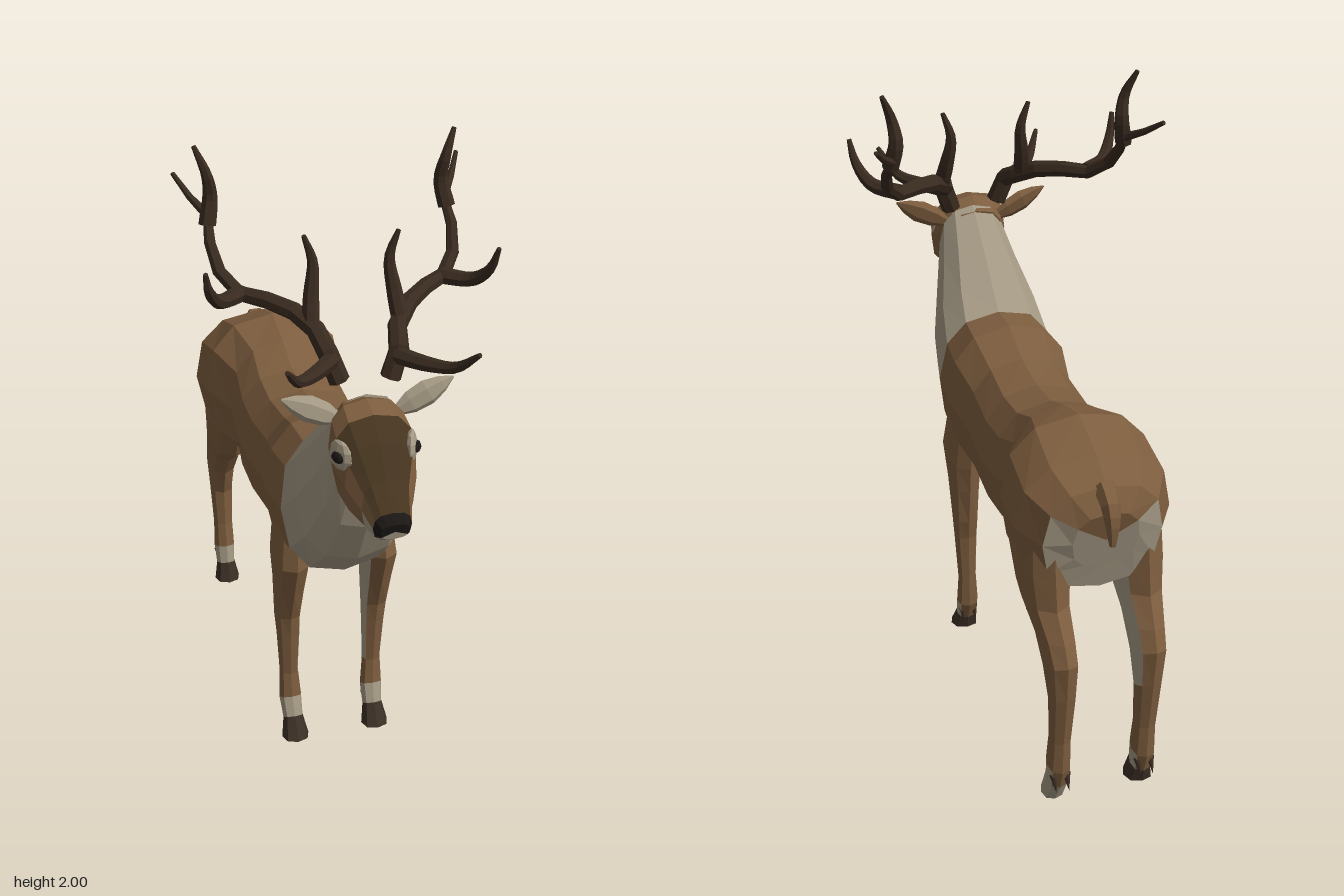
import * as THREE from 'three';

const V = (x, y, z) => new THREE.Vector3(x, y, z);
const material = (name, color) => {
  const m = new THREE.MeshStandardMaterial({ color });
  m.name = name;
  return m;
};

// Cross-section between point a (z, y) and point b (z, y), half width hw, centred on xc
function section([az, ay, bz, by, hw, xc = 0], n = 12, power = 0.8) {
  const soft = (v) => Math.sign(v) * Math.abs(v) ** power;
  return Array.from({ length: n }, (_, j) => {
    const t = (j / n) * Math.PI * 2;
    const c = soft(Math.cos(t)) / 2;
    return V(xc + hw * soft(Math.sin(t)), (ay + by) / 2 + (ay - by) * c, (az + bz) / 2 + (az - bz) * c);
  });
}

// Faceted skin over a row of rings; pick(ring, angle) gives the material index
function loft(name, rings, materials, pick = () => 0) {
  const buckets = materials.map(() => []);
  const mids = rings.map((r) => r.reduce((s, p) => s.add(p), V(0, 0, 0)).divideScalar(r.length));
  const face = (k, a, b, c, out) => {
    const normal = b.clone().sub(a).cross(c.clone().sub(a));
    const order = normal.dot(out) < 0 ? [a, c, b] : [a, b, c];
    order.forEach((p) => buckets[k].push(p.x, p.y, p.z));
  };
  const n = rings[0].length;
  for (let i = 0; i < rings.length - 1; i++) {
    const axis = mids[i].clone().add(mids[i + 1]).multiplyScalar(0.5);
    for (let j = 0; j < n; j++) {
      const a = rings[i][j], b = rings[i][(j + 1) % n];
      const c = rings[i + 1][(j + 1) % n], d = rings[i + 1][j];
      const out = a.clone().add(b).add(c).add(d).multiplyScalar(0.25).sub(axis);
      const k = pick(i, ((j + 0.5) / n) * Math.PI * 2);
      face(k, a, b, c, out);
      face(k, a, c, d, out);
    }
  }
  const last = rings.length - 1;
  [[0, 1, 0], [last, last - 1, last - 1]].forEach(([e, inner, i]) => {
    const out = mids[e].clone().sub(mids[inner]);
    for (let j = 0; j < n; j++) face(pick(i, ((j + 0.5) / n) * Math.PI * 2), mids[e], rings[e][j], rings[e][(j + 1) % n], out);
  });
  const geometry = new THREE.BufferGeometry();
  geometry.setAttribute('position', new THREE.Float32BufferAttribute(buckets.flat(), 3));
  let start = 0;
  buckets.forEach((b, k) => {
    if (b.length) geometry.addGroup(start, b.length / 3, k);
    start += b.length / 3;
  });
  geometry.computeVertexNormals();
  const mesh = new THREE.Mesh(geometry, materials);
  mesh.name = name;
  return mesh;
}

// Tapered branch along a smooth curve
function branch(name, points, r0, r1, mat, steps = 10, sides = 7) {
  const curve = new THREE.CatmullRomCurve3(points);
  const frames = curve.computeFrenetFrames(steps, false);
  const rings = [];
  for (let i = 0; i <= steps; i++) {
    const t = i / steps, r = r0 + (r1 - r0) * t ** 1.5, p = curve.getPointAt(t);
    rings.push(Array.from({ length: sides }, (_, j) => {
      const a = (j / sides) * Math.PI * 2;
      return p.clone().addScaledVector(frames.normals[i], r * Math.cos(a)).addScaledVector(frames.binormals[i], r * Math.sin(a));
    }));
  }
  return loft(name, rings, [mat]);
}

export function createModel() {
  const coat = material('brown coat', 0x7d5d3e);
  const pale = material('pale fur', 0xa39883);
  const mask = material('dark face', 0x45341f);
  const horn = material('antler brown', 0x382a1f);
  const hoof = material('hoof', 0x3b2f25);
  const black = material('black', 0x1a1614);

  const root = new THREE.Group();
  root.name = 'stag';
  const body = new THREE.Group();
  body.name = 'body';
  body.position.x = -0.035;
  root.add(body);

  // Trunk with pale belly and rump
  const trunk = [
    [0.24, 1.165, 0.32, 0.71, 0.188], [0.13, 1.165, 0.15, 0.68, 0.2], [0, 1.11, 0, 0.665, 0.176],
    [-0.15, 1.09, -0.18, 0.65, 0.185], [-0.28, 1.1, -0.32, 0.66, 0.185], [-0.4, 1.145, -0.4, 0.68, 0.175],
    [-0.53, 1.18, -0.48, 0.69, 0.23], [-0.68, 1.125, -0.64, 0.7, 0.235], [-0.765, 1.07, -0.725, 0.72, 0.18],
    [-0.8, 1.0, -0.745, 0.8, 0.1],
  ];
  body.add(loft('trunk', trunk.map((r) => section(r)), [coat, pale],
    (i, t) => (i === 8 && Math.cos(t) < 0.7) || Math.cos(t) < -0.9 ? 1 : 0));

  // Neck and chest
  const neck = [
    [0.24, 1.165, 0.32, 0.71, 0.188], [0.32, 1.24, 0.46, 0.84, 0.172],
    [0.42, 1.335, 0.545, 1.0, 0.135], [0.52, 1.425, 0.585, 1.16, 0.105],
  ];
  body.add(loft('neck', neck.map((r) => section(r)), [pale]));

  // Head with dark forehead, pale chin and black nose
  const head = [
    [0.5, 1.41, 0.56, 1.2, 0.09, -0.01], [0.57, 1.44, 0.6, 1.18, 0.115, -0.013], [0.64, 1.425, 0.67, 1.155, 0.12, -0.015],
    [0.7, 1.37, 0.73, 1.135, 0.103, -0.015], [0.76, 1.285, 0.78, 1.13, 0.072, -0.015],
    [0.825, 1.22, 0.825, 1.135, 0.056, -0.015], [0.855, 1.2, 0.845, 1.15, 0.042, -0.015],
  ];
  body.add(loft('head', head.map((r) => section(r, 12, 0.75)), [coat, mask, pale, black], (i, t) => {
    const c = Math.cos(t);
    if (i === 5) return c < -0.6 ? 2 : 3;
    if (i >= 2 && c > 0.6) return 1;
    return (i >= 3 && c < -0.6) || (i === 4 && c < 0) ? 2 : 0;
  }));

  const foreleg = [
    [0.27, 0.86, 0.08, 0.86, 0.05, 0.13], [0.3, 0.71, 0.09, 0.69, 0.055, 0.142], [0.26, 0.6, 0.1, 0.6, 0.047, 0.142],
    [0.215, 0.48, 0.115, 0.48, 0.042, 0.142], [0.205, 0.41, 0.13, 0.41, 0.038, 0.14], [0.19, 0.25, 0.135, 0.25, 0.03, 0.138],
    [0.2, 0.165, 0.14, 0.14, 0.036, 0.136], [0.22, 0.1, 0.17, 0.075, 0.032, 0.134], [0.265, 0.03, 0.18, 0.03, 0.044, 0.134],
  ];
  const hindleg = [
    [-0.46, 0.95, -0.73, 0.95, 0.07, 0.14], [-0.45, 0.78, -0.755, 0.78, 0.075, 0.142], [-0.5, 0.67, -0.77, 0.68, 0.065, 0.142],
    [-0.63, 0.58, -0.825, 0.6, 0.053, 0.137], [-0.71, 0.48, -0.853, 0.54, 0.048, 0.135], [-0.745, 0.38, -0.84, 0.42, 0.04, 0.133],
    [-0.74, 0.25, -0.815, 0.25, 0.033, 0.133], [-0.725, 0.165, -0.81, 0.14, 0.036, 0.133],
    [-0.715, 0.1, -0.79, 0.075, 0.032, 0.133], [-0.69, 0.03, -0.78, 0.03, 0.044, 0.133],
  ];

  for (const s of [1, -1]) {
    const side = s > 0 ? 'left' : 'right';

    // Legs: pale inside and ankle, dark hoof
    const leg = (name, rows, tip) => {
      const rings = rows.map(([az, ay, bz, by, w, x]) => section([az, ay, bz, by, w, s * x], 8, 0.85));
      const hoofRow = rows.length - 2;
      body.add(loft(name, rings, [coat, pale, tip], (i, t) => {
        if (i === hoofRow) return 2;
        if (i === hoofRow - 1) return Math.cos(t) > -0.5 ? 1 : 0;
        return i < 5 && Math.sin(t) * s < -0.5 ? 1 : 0;
      }));
      // Pair of dewclaws behind the ankle
      const [, , z, y, , x] = rows[hoofRow];
      for (const d of [-1, 1]) {
        const claw = new THREE.Mesh(new THREE.ConeGeometry(0.014, 0.055, 5), hoof);
        claw.name = 'dewclaw';
        claw.position.set(s * x + d * 0.02, y + 0.025, z - 0.008);
        claw.rotation.x = -2.5;
        body.add(claw);
      }
    };
    leg(side + 'Foreleg', foreleg, hoof);
    // The left hind foot rests on its pale toe
    const hind = s > 0 ? [...hindleg.slice(0, -1), [-0.68, 0.02, -0.745, 0, 0.034, 0.133]] : hindleg;
    leg(side + 'HindLeg', hind, s > 0 ? pale : hoof);

    // Ear: leaf with pale front
    const ear = [[0, 0.016], [0.25, 0.034], [0.55, 0.038], [0.8, 0.024], [1, 0.003]].map(([t, w]) =>
      Array.from({ length: 6 }, (_, j) => {
        const a = (j / 6) * Math.PI * 2, u = w * Math.cos(a);
        return V(s * (0.085 + 0.165 * t - 0.45 * u), 1.37 + 0.085 * t + 0.89 * u, 0.54 + w * 0.5 * Math.sin(a) - 0.2 * u);
      }));
    body.add(loft(side + 'Ear', ear, [coat, pale], (i, t) => (Math.sin(t) > 0.3 ? 1 : 0)));

    // Eye in a pale ring
    const eyeball = (name, mat, x, y, z, sx, sy, sz) => {
      const e = new THREE.Mesh(new THREE.SphereGeometry(1, 8, 6).toNonIndexed(), mat);
      e.geometry.computeVertexNormals();
      e.name = name;
      e.position.set(s * x - 0.015, y, z);
      e.scale.set(sx, sy, sz);
      e.rotation.y = -s * 0.35;
      body.add(e);
    };
    eyeball(side + 'EyeRing', pale, 0.101, 1.325, 0.668, 0.018, 0.05, 0.05);
    eyeball(side + 'Eye', black, 0.112, 1.33, 0.678, 0.015, 0.017, 0.024);

    // Antler: main beam and four tines, the left one turned slightly outward
    const at = ([x, y, z]) => (s < 0 ? V(x, y, z) : V(-0.05 - x + 0.08 * (0.48 - z), y - 0.012, z + 0.1 * (-x - 0.1)));
    const tine = (part, pts, r0, r1) => root.add(branch(side + part, pts.map(at), r0, r1, horn));
    tine('AntlerBeam', [[-0.1, 1.455, 0.475], [-0.125, 1.525, 0.465], [-0.14, 1.57, 0.38], [-0.21, 1.615, 0.29], [-0.33, 1.63, 0.18],
      [-0.37, 1.71, 0.1], [-0.36, 1.79, 0.015], [-0.395, 1.825, -0.05], [-0.43, 1.875, -0.125]], 0.031, 0.007);
    tine('BrowTine', [[-0.12, 1.52, 0.47], [-0.19, 1.52, 0.54], [-0.25, 1.535, 0.6], [-0.3, 1.605, 0.67]], 0.026, 0.007);
    tine('InnerTine', [[-0.15, 1.59, 0.36], [-0.14, 1.66, 0.33], [-0.13, 1.75, 0.31], [-0.155, 1.83, 0.31]], 0.026, 0.007);
    tine('OuterTine', [[-0.31, 1.625, 0.2], [-0.385, 1.635, 0.26], [-0.425, 1.69, 0.31], [-0.44, 1.76, 0.335]], 0.026, 0.007);
    tine('TopTine', [[-0.365, 1.77, 0.03], [-0.35, 1.85, 0.01], [-0.36, 1.92, 0.02], [-0.39, 2.0, -0.005]], 0.026, 0.007);
  }

  // Tail
  body.add(branch('tail', [V(0, 1.06, -0.75), V(0, 1.03, -0.8), V(0, 0.98, -0.82), V(0, 0.91, -0.825)], 0.035, 0.01, coat, 6, 6));

  return root;
}
